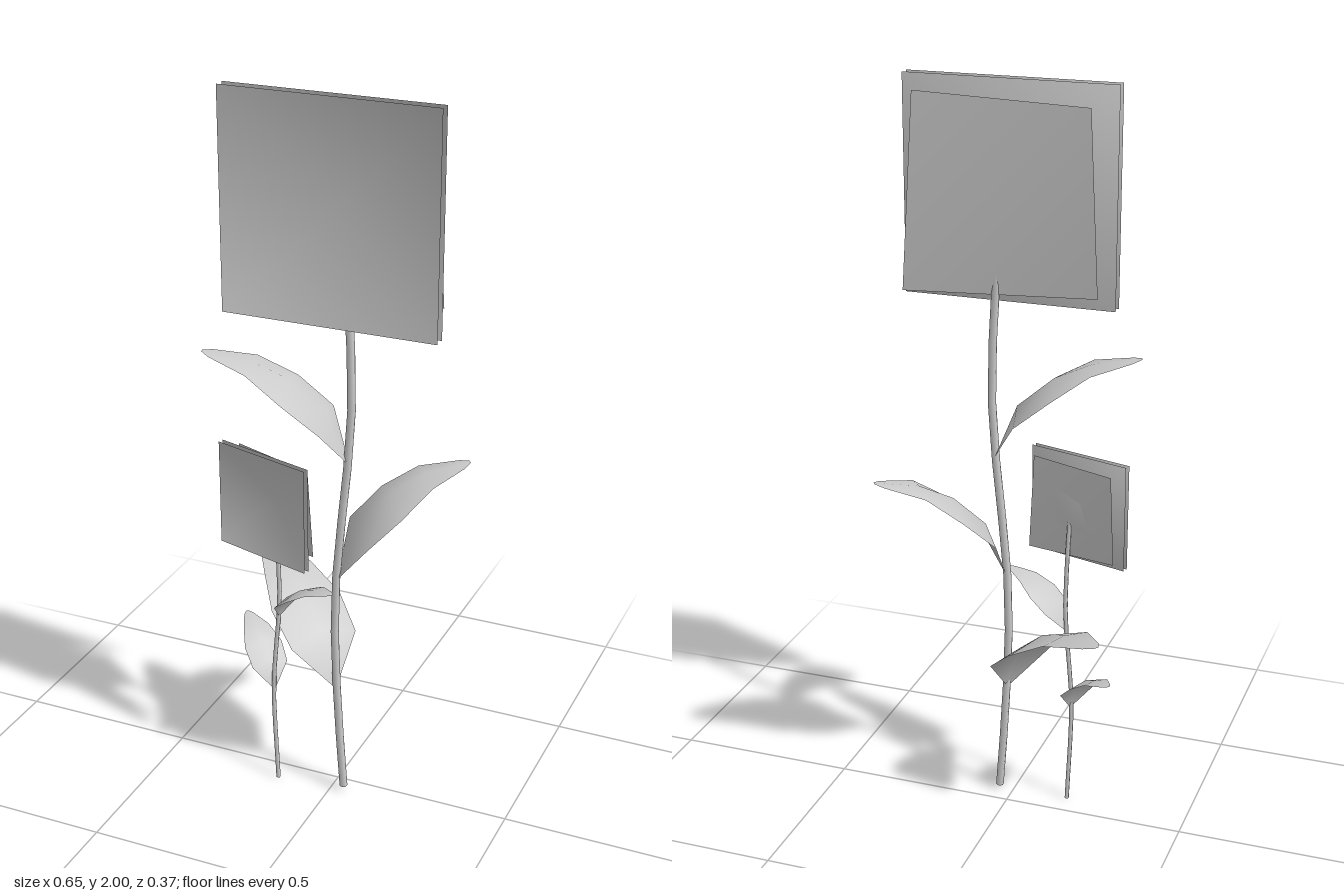
import * as THREE from 'three';

const material = new THREE.MeshStandardMaterial({ color: 0xcccccc, side: THREE.DoubleSide });

function surface(name, points, index) {
  const geometry = new THREE.BufferGeometry();
  geometry.setAttribute('position', new THREE.Float32BufferAttribute(points.flat(), 3));
  geometry.setIndex(index);
  geometry.computeVertexNormals();
  const mesh = new THREE.Mesh(geometry, material);
  mesh.name = name;
  return mesh;
}

// Square sheet whose middle is pushed back into a shallow funnel
function petalSheet(name, half, z, depth) {
  return surface(name,
    [[-half, -half, z], [half, -half, z], [half, half, z], [-half, half, z], [0, 0, z - depth]],
    [0, 1, 4, 1, 2, 4, 2, 3, 4, 3, 0, 4]);
}

// Two funnel sheets in front of one twisted square sheet
function flowerHead(name, scale, twist, backZ) {
  const head = new THREE.Group();
  head.name = name;
  head.add(petalSheet('frontPetals', 0.2885, 0.105, 0.108));
  head.add(petalSheet('middlePetals', 0.2885, 0.075, 0.108));
  const h = 0.25, near = backZ + twist, far = backZ - twist;
  head.add(surface('backPetals',
    [[-h, -h, near], [h, -h, far], [h, h, near], [-h, h, far]], [0, 1, 3, 1, 2, 3]));
  head.scale.setScalar(scale);
  return head;
}

function stem(name, points, radius) {
  const curve = new THREE.CatmullRomCurve3(points.map(p => new THREE.Vector3(...p)));
  const mesh = new THREE.Mesh(new THREE.TubeGeometry(curve, 10, radius, 6), material);
  mesh.name = name;
  return mesh;
}

// Arching leaf with a raised midrib; stations are [run, edge rise, midrib rise, width]
const stations = [[0, 0, 0, 0.08], [0.15, 0.4, 0.5, 0.94], [0.4, 0.67, 0.78, 1],
  [0.66, 0.89, 0.93, 0.68], [0.94, 0.98, 0.99, 0.25], [1, 1, 1, 0.06]];

function leaf(name, base, tip, halfWidth) {
  const from = new THREE.Vector3(...base);
  const run = new THREE.Vector3(tip[0] - base[0], 0, tip[2] - base[2]);
  const rise = tip[1] - base[1];
  const side = new THREE.Vector3(-run.z, 0, run.x).normalize();
  const points = [], index = [];
  stations.forEach(([u, edge, rib, w], i) => {
    for (const s of [-1, 0, 1]) {
      const p = from.clone().addScaledVector(run, u).addScaledVector(side, s * w * halfWidth);
      p.y += rise * (s === 0 ? rib : edge);
      points.push(p.toArray());
    }
    if (i === 0) return;
    for (const c of [0, 1]) {
      const a = (i - 1) * 3 + c, b = a + 3;
      index.push(a, a + 1, b, a + 1, b + 1, b);
    }
  });
  return surface(name, points, index);
}

export function createModel() {
  const model = new THREE.Group();
  model.name = 'flowers';

  // Tall flower
  const tall = new THREE.Group();
  tall.name = 'tallFlower';
  tall.add(stem('tallStem', [[0.038, 0.015, 0.05], [0.018, 0.32, 0.05], [0.012, 0.6, 0.05],
    [0.03, 0.85, 0.046], [0.05, 1.05, 0.046], [0.058, 1.24, 0.045],
    [0.047, 1.43, 0.043], [0.035, 1.66, 0.035]], 0.011));
  const tallHead = flowerHead('tallFlowerHead', 1, 0.041, 0);
  tallHead.position.set(0.034, 1.7125, 0.04);
  tall.add(tallHead);
  tall.add(leaf('tallLowerLeaf', [0.012, 0.34, 0.05], [-0.307, 0.617, -0.18], 0.108));
  tall.add(leaf('tallMiddleLeaf', [0.022, 0.68, 0.048], [0.31, 0.982, -0.16], 0.108));
  tall.add(leaf('tallUpperLeaf', [0.047, 1.02, 0.046], [-0.325, 1.302, 0.128], 0.108));

  // Short flower, turned a little to its right
  const short = new THREE.Group();
  short.name = 'shortFlower';
  short.add(stem('shortStem', [[-0.157, 0, 0.065], [-0.167, 0.3, 0.065], [-0.157, 0.45, 0.063],
    [-0.147, 0.57, 0.062], [-0.15, 0.73, 0.062], [-0.157, 0.86, 0.06]], 0.006));
  const shortHead = flowerHead('shortFlowerHead', 0.512, 0.02, 0.012);
  shortHead.position.set(-0.156, 0.877, 0.062);
  shortHead.rotation.y = -0.28;
  short.add(shortHead);
  short.add(leaf('shortLowerLeaf', [-0.165, 0.295, 0.065], [-0.307, 0.443, -0.06], 0.055));
  short.add(leaf('shortUpperLeaf', [-0.147, 0.53, 0.062], [0.037, 0.665, 0.125], 0.055));

  model.add(tall, short);
  return model;
}
